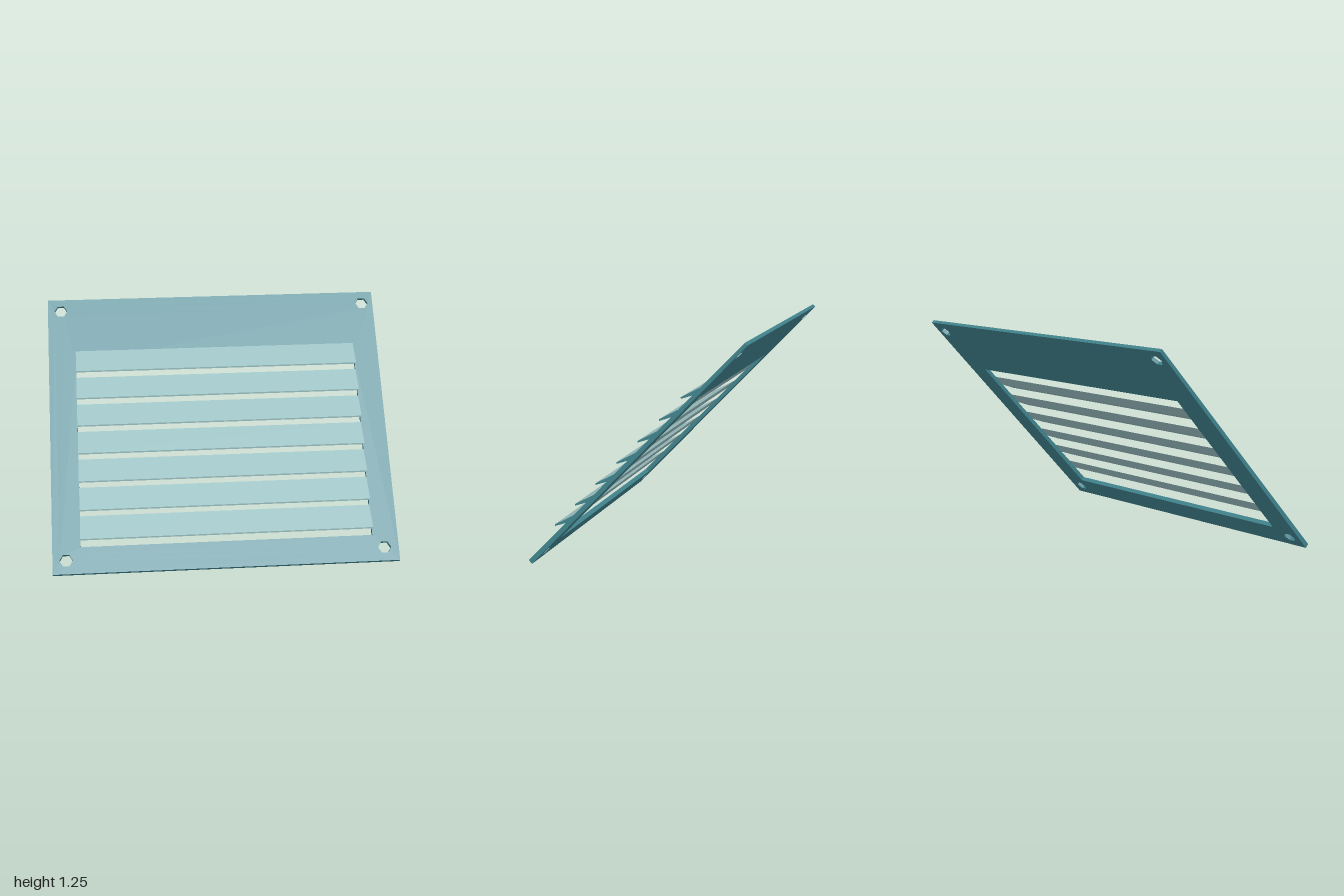
import * as THREE from 'three';

export function createModel() {
  const teal = new THREE.MeshStandardMaterial({ color: 0x41848e });
  teal.name = 'teal frame';
  const pale = new THREE.MeshStandardMaterial({ color: 0x9abfc1 });
  pale.name = 'pale slat';

  const model = new THREE.Group();
  model.name = 'louvredVent';

  // Leaning plane: local y runs up the panel, local z out of its front face
  const leaning = new THREE.Group();
  leaning.name = 'leaningPanel';
  leaning.position.set(0, 0.019, 0.604);
  leaning.rotation.x = -Math.atan2(1.194, 1.233);
  model.add(leaning);

  const height = 1.716, left = -0.838, right = 0.852;
  const topSlat = 1.374, pitch = 0.1725, slatFoot = 0.075;

  const polygon = (points, Type = THREE.Shape) =>
    new Type(points.map(([x, y]) => new THREE.Vector2(x, y)));

  // Frame plate with the vent opening and four hexagonal screw holes
  const plate = polygon([[-1, 0], [1, 0], [1, height], [-1, height]]);
  const openTop = topSlat - slatFoot;
  plate.holes.push(polygon(
    [[left, 0.156], [left, openTop], [right, openTop], [right, 0.156]], THREE.Path));
  for (const [x, y] of [[-0.922, 0.08], [0.917, 0.08], [-0.922, 1.64], [0.932, 1.64]]) {
    const corners = [];
    for (let i = 0; i < 6; i++) {
      const a = -i * Math.PI / 3;
      corners.push([x + 0.038 * Math.cos(a), y + 0.038 * Math.sin(a)]);
    }
    plate.holes.push(polygon(corners, THREE.Path));
  }
  const plateGeometry = new THREE.ExtrudeGeometry(plate, { depth: 1, bevelEnabled: false });
  // Thin the plate slightly towards its top edge
  const p = plateGeometry.attributes.position;
  for (let i = 0; i < p.count; i++) {
    const thickness = 0.027 - 0.007 * p.getY(i) / height;
    p.setZ(i, (p.getZ(i) - 1) * thickness);
  }
  plateGeometry.computeVertexNormals();
  const frame = new THREE.Mesh(plateGeometry, teal);
  frame.name = 'frame';
  leaning.add(frame);

  // Wedge-shaped louvre slats: pale faces, teal ends
  const wedge = polygon([[0, 0], [0, -slatFoot], [-0.0406, -0.155], [-0.0476, -0.149]]);
  const slatGeometry = new THREE.ExtrudeGeometry(wedge, { depth: right - left, bevelEnabled: false });
  slatGeometry.rotateY(Math.PI / 2);
  // The quarter turn sends the profile's -x to +z, out of the front face
  for (let i = 0; i < 7; i++) {
    const slat = new THREE.Mesh(slatGeometry, [teal, pale]);
    slat.name = 'slat' + (i + 1);
    slat.position.set(left, topSlat - i * pitch, 0);
    leaning.add(slat);
  }
  return model;
}
